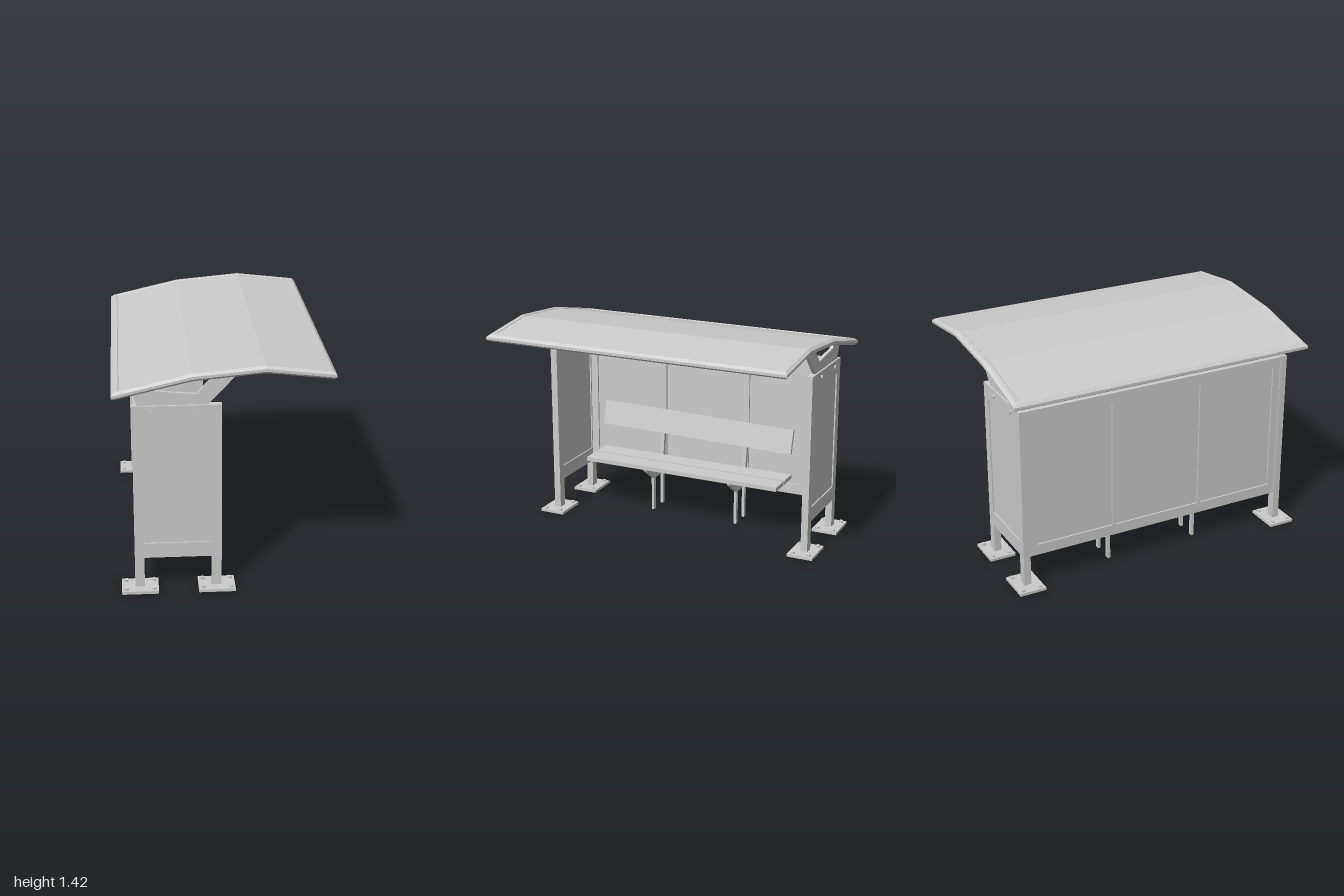
import * as THREE from 'three';

const material = new THREE.MeshStandardMaterial({ color: 0xcccccc, flatShading: true, side: THREE.DoubleSide });

// Roof centre line as [x, y], from the low back edge to the front edge
const ARC = [[-0.64, 1.258], [-0.18, 1.364], [0.24, 1.402], [0.64, 1.357]];

function add(parent, name, geometry, x = 0, y = 0, z = 0) {
  const mesh = new THREE.Mesh(geometry, material);
  mesh.name = name;
  mesh.position.set(x, y, z);
  parent.add(mesh);
  return mesh;
}

// Box given by its minimum and maximum corners
function block(parent, name, [x0, y0, z0], [x1, y1, z1]) {
  const geometry = new THREE.BoxGeometry(x1 - x0, y1 - y0, z1 - z0);
  return add(parent, name, geometry, (x0 + x1) / 2, (y0 + y1) / 2, (z0 + z1) / 2);
}

const points = list => list.map(([x, y]) => new THREE.Vector2(x, y));
const rect = (x0, y0, x1, y1) => [[x0, y0], [x1, y0], [x1, y1], [x0, y1]];

// Flat plate in the xy plane, centred on z = 0, with optional holes
function plate(outline, depth, holes = []) {
  const shape = new THREE.Shape(points(outline));
  for (const hole of holes) shape.holes.push(new THREE.Path(points(hole)));
  return new THREE.ExtrudeGeometry(shape, { depth, bevelEnabled: false }).translate(0, 0, -depth / 2);
}

// Strip that follows the roof line between two offsets from it
function arcStrip(low, high, depth, inset) {
  const line = ARC.map(([x, y], i) => {
    if (i === 0) return [x + inset, y + inset * 0.23];
    if (i === ARC.length - 1) return [x - inset, y + inset * 0.11];
    return [x, y];
  });
  const bottom = line.map(([x, y]) => [x, y + low]);
  const top = line.map(([x, y]) => [x, y + high]).reverse();
  return plate([...bottom, ...top], depth);
}

// Chamfered rim swept once around the edge of the roof with mitred corners
function roofRim() {
  const section = [[0.045, 0.017], [0.04, 0.022], [0.018, 0.022], [0, 0.008], [0, -0.008], [0.016, -0.022], [0.045, -0.022]];
  const ends = ARC.map(([x, y], i) => ({ x, y, out: i === 0 ? -1 : i === ARC.length - 1 ? 1 : 0 }));
  const ring = [
    ...ends.map(p => ({ ...p, side: 1 })),
    ...ends.slice().reverse().map(p => ({ ...p, side: -1 })),
  ];
  const position = [], index = [], n = section.length;
  ring.forEach((p, i) => {
    for (const [inset, up] of section) {
      const slope = p.out < 0 ? 0.23 : 0.11;
      position.push(p.x - p.out * inset, p.y + up + Math.abs(p.out) * inset * slope, p.side * (1 - inset));
    }
    const next = (i + 1) % ring.length;
    for (let j = 0; j < n; j++) {
      const k = (j + 1) % n;
      const a = i * n + j, b = next * n + j, c = next * n + k, d = i * n + k;
      index.push(a, d, b, b, d, c);
    }
  });
  const geometry = new THREE.BufferGeometry();
  geometry.setAttribute('position', new THREE.Float32BufferAttribute(position, 3));
  geometry.setIndex(index);
  const flat = geometry.toNonIndexed();
  flat.computeVertexNormals();
  return flat;
}

function buildRoof() {
  const roof = new THREE.Group();
  roof.name = 'roof';
  add(roof, 'roofSheet', arcStrip(0.002, 0.016, 1.92, 0.04));
  add(roof, 'roofRim', roofRim());
  for (const z of [0.315, -0.315]) add(roof, 'crossRib', arcStrip(-0.022, 0.004, 0.026, 0.04), 0, 0, z);
  for (const [x, y] of ARC.slice(1, 3)) block(roof, 'longRib', [x - 0.013, y - 0.022, -0.96], [x + 0.013, y + 0.002, 0.96]);
  return roof;
}

// End wall: posts, panel, feet, bolts and roof bracket
function buildEnd(side) {
  const end = new THREE.Group();
  end.name = side > 0 ? 'leftEnd' : 'rightEnd';
  end.position.z = 0.903 * side;

  const outline = [[-0.525, 0.01], [-0.468, 0.01], [-0.468, 0.21], [-0.065, 0.21], [-0.065, 0.01],
    [-0.006, 0.01], [-0.006, 1.175], [-0.525, 1.175]];
  add(end, 'endFrame', plate(outline, 0.045, [rect(-0.468, 0.305, -0.065, 1.08)]));
  block(end, 'endPanel', [-0.475, 0.3, -0.014], [-0.06, 1.085, 0.014]);

  for (const x of [-0.41, -0.163]) {
    const bolt = add(end, 'wallBolt', new THREE.CylinderGeometry(0.011, 0.011, 0.066, 12), x, 1.138, 0);
    bolt.rotation.x = Math.PI / 2;
  }

  // Forked bracket that carries the roof
  add(end, 'roofBracket', plate([[-0.49, 1.165], [-0.095, 1.165], [0.1, 1.372], [-0.035, 1.36],
    [-0.155, 1.238], [-0.395, 1.262], [-0.42, 1.295], [-0.53, 1.27]], 0.022));

  for (const x of [-0.495, -0.035]) {
    block(end, 'footPlate', [x - 0.11, 0, -0.085], [x + 0.11, 0.018, 0.085]);
    for (const dx of [-0.083, 0.083]) for (const dz of [-0.055, 0.055]) {
      add(end, 'footBolt', new THREE.CylinderGeometry(0.015, 0.015, 0.014, 6), x + dx, 0.023, dz);
    }
  }
  return end;
}

function buildBackWall() {
  const wall = new THREE.Group();
  wall.name = 'backWall';
  const holes = [[-0.83, -0.32], [-0.295, 0.292], [0.317, 0.83]].map(([a, b]) => rect(a, 0.275, b, 1.1));
  const frame = add(wall, 'backFrame', plate(rect(-0.882, 0.205, 0.882, 1.17), 0.04, holes), -0.498);
  frame.rotation.y = Math.PI / 2;
  block(wall, 'backPanel', [-0.508, 0.265, -0.84], [-0.49, 1.11, 0.84]);
  return wall;
}

function buildBench() {
  const bench = new THREE.Group();
  bench.name = 'bench';
  for (const [x0, x1] of [[-0.425, -0.295], [-0.28, -0.15]]) {
    block(bench, 'seatSlat', [x0, 0.332, -0.65], [x1, 0.36, 0.745]);
  }

  // Backrest leans back and sits a little askew
  const backrest = add(bench, 'backrest', new THREE.BoxGeometry(0.022, 0.165, 1.395), -0.432, 0.596, 0.048);
  backrest.rotation.set(-0.017, 0, 0.22);

  const support = [[-0.165, 0.334], [-0.17, 0.315], [-0.285, 0.23], [-0.445, 0.23], [-0.478, 0.6],
    [-0.455, 0.6], [-0.428, 0.36], [-0.428, 0.334]];
  for (const z of [0.307, -0.307]) {
    add(bench, 'benchSupport', plate(support, 0.024), 0, 0, z);
    for (const x of [-0.436, -0.298]) block(bench, 'benchLeg', [x - 0.014, 0, z - 0.009], [x + 0.014, 0.26, z + 0.009]);
  }
  return bench;
}

export function createModel() {
  const model = new THREE.Group();
  model.name = 'busShelter';
  model.add(buildRoof(), buildEnd(1), buildEnd(-1), buildBackWall(), buildBench());
  return model;
}
